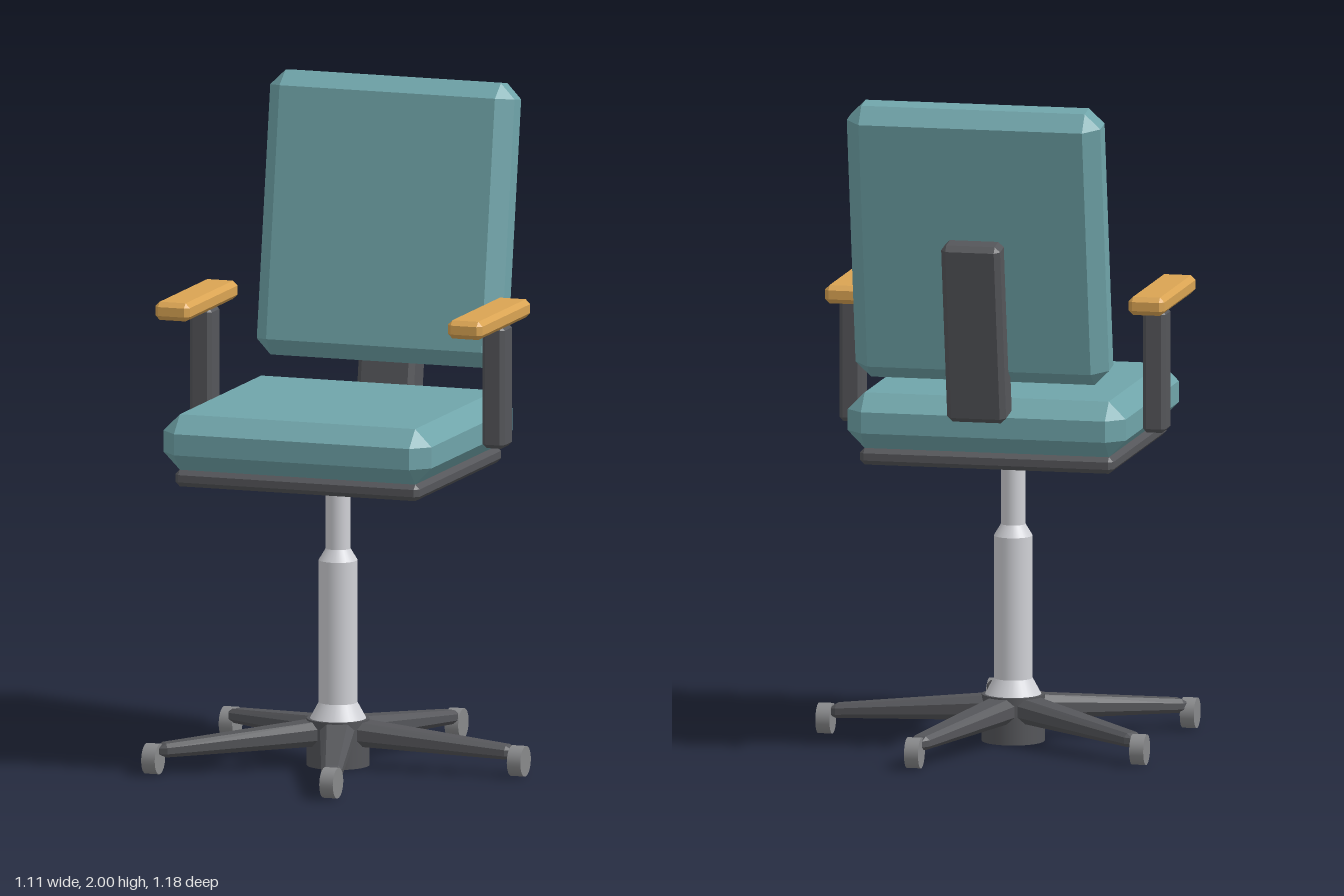
import * as THREE from 'three';
import { ConvexGeometry } from 'three/addons/geometries/ConvexGeometry.js';

const paint = (color) => new THREE.MeshStandardMaterial({ color });
const fabric = paint(0x70a5aa), frame = paint(0x55565a), wood = paint(0xdaa453);
const metal = paint(0xd0d1d6), wheel = paint(0x88898b);

const CX = -0.042; // centre line of the chair

// Box with chamfered edges and corners; an optional rule reshapes its points
function chamferBox(w, h, d, b, reshape) {
  const points = [];
  for (const sx of [-1, 1]) for (const sy of [-1, 1]) for (const sz of [-1, 1]) {
    for (let full = 0; full < 3; full++) {
      const inset = [b, b, b];
      inset[full] = 0;
      const p = new THREE.Vector3(
        sx * (w / 2 - inset[0]), sy * (h / 2 - inset[1]), sz * (d / 2 - inset[2]));
      if (reshape) reshape(p);
      points.push(p);
    }
  }
  return new ConvexGeometry(points);
}

export function createModel() {
  const chair = new THREE.Group();
  chair.name = 'officeChair';

  const add = (name, geometry, material, x, y, z, tilt = 0) => {
    const mesh = new THREE.Mesh(geometry, material);
    mesh.name = name;
    mesh.position.set(x, y, z);
    mesh.rotation.x = tilt;
    chair.add(mesh);
    return mesh;
  };

  // Seat and its plate
  add('seatCushion', chamferBox(0.85, 0.168, 0.81, 0.052), fabric, CX, 1.012, 0);
  add('seatPlate', chamferBox(0.775, 0.05, 0.735, 0.014), frame, CX, 0.903, 0);

  // Leaning backrest and the bar that carries it
  const lean = -0.155;
  add('backCushion', chamferBox(0.775, 0.85, 0.15, 0.046), fabric, CX, 1.578, -0.442, lean);
  add('backBar', chamferBox(0.18, 0.553, 0.108, 0.016), frame, CX, 1.32, -0.49, lean);

  // Armrests
  for (const [side, s] of [['left', 1], ['right', -1]]) {
    const x = CX + s * 0.464;
    add(side + 'ArmPost', chamferBox(0.07, 0.37, 0.086, 0.012), frame, x, 1.156, -0.112);
    add(side + 'ArmPad', chamferBox(0.11, 0.055, 0.442, 0.014), wood, x, 1.37, -0.04);
  }

  // Gas lift: straight and conical pieces kept separate for sharp edges
  const profile = [[0.085, 0.14], [0.058, 0.19], [0.058, 0.62], [0.037, 0.655], [0.037, 0.885]];
  for (let i = 0; i < profile.length - 1; i++) {
    const [r0, y0] = profile[i], [r1, y1] = profile[i + 1];
    add('column' + (i + 1), new THREE.CylinderGeometry(r1, r0, y1 - y0, 32),
      metal, CX, (y0 + y1) / 2, 0);
  }

  // Hub, five tapering legs and their casters
  add('hub', new THREE.CylinderGeometry(0.094, 0.094, 0.142, 32), frame, CX, 0.071, 0);
  const length = 0.56, reach = 0.573;
  const taper = (p) => {
    const t = p.x / length + 0.5;
    p.x += length / 2;
    p.y = p.y * (1 - 0.5 * t) + 0.106 - 0.036 * t;
    p.z *= 1 - 0.45 * t;
  };
  for (let i = 0; i < 5; i++) {
    const a = (i * Math.PI * 2) / 5;
    const leg = add('leg' + (i + 1), chamferBox(length, 0.08, 0.11, 0.022, taper), frame, CX, 0, 0);
    leg.rotation.y = -a;
    const caster = add('caster' + (i + 1), new THREE.CylinderGeometry(0.046, 0.046, 0.043, 24),
      wheel, CX + reach * Math.cos(a), 0.046, reach * Math.sin(a));
    caster.rotation.z = Math.PI / 2;
  }
  return chair;
}
